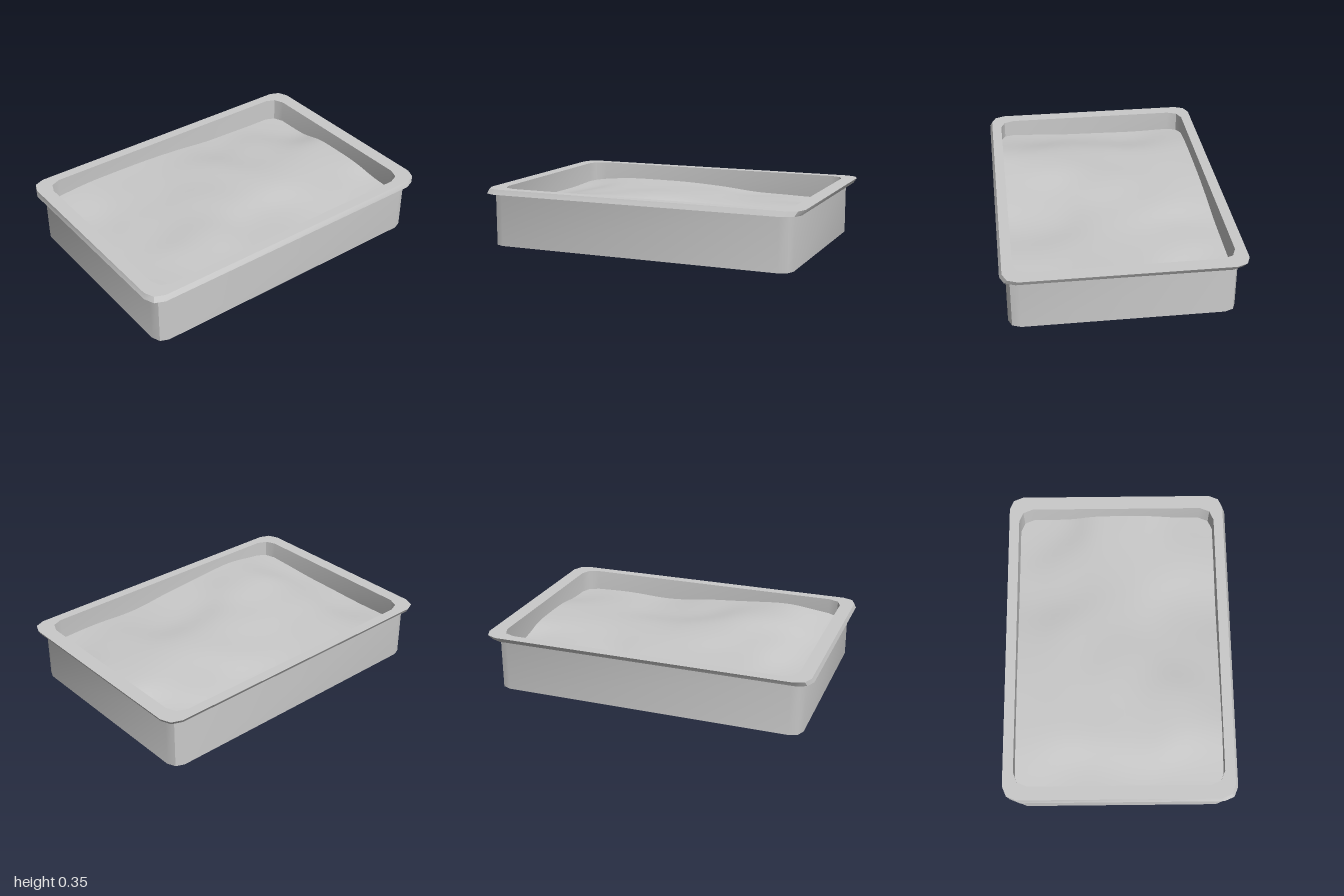
import * as THREE from 'three';
import { toCreasedNormals } from 'three/addons/utils/BufferGeometryUtils.js';

// Rounded rectangle loop at height y, with two facets per corner
function outline(y, x0, x1, z0, z1, r = 0.085) {
  const pts = [];
  const centres = [[x1 - r, z1 - r], [x0 + r, z1 - r], [x0 + r, z0 + r], [x1 - r, z0 + r]];
  centres.forEach(([cx, cz], c) => {
    for (let k = 0; k <= 2; k++) {
      const a = (c + k / 2) * Math.PI / 2;
      pts.push(new THREE.Vector3(cx + r * Math.cos(a), y, cz + r * Math.sin(a)));
    }
  });
  return pts;
}

// Skin through successive loops, smooth along the walls with one crease per corner
function loft(loops, capStart = false) {
  const tri = [];
  for (let l = 0; l + 1 < loops.length; l++) {
    const a = loops[l], b = loops[l + 1];
    a.forEach((p, i) => {
      const j = (i + 1) % a.length;
      tri.push(p, b[i], a[j], b[i], b[j], a[j]);
    });
  }
  if (capStart) {
    const a = loops[0];
    for (let i = 1; i + 1 < a.length; i++) tri.push(a[0], a[i], a[i + 1]);
  }
  return toCreasedNormals(new THREE.BufferGeometry().setFromPoints(tri), 0.6);
}

// Height samples [x, z, y] of the uneven filling
const SAMPLES = [
  [-0.91, -0.63, 0.21], [-0.72, -0.63, 0.255], [-0.47, -0.63, 0.25], [-0.22, -0.63, 0.25],
  [0.06, -0.63, 0.235], [0.34, -0.63, 0.205], [0.77, -0.63, 0.2], [0.91, -0.5, 0.205],
  [0.91, 0.05, 0.25], [0.91, 0.55, 0.215], [0.59, 0.62, 0.225], [0.26, 0.62, 0.205],
  [-0.06, 0.62, 0.25], [-0.3, 0.62, 0.265], [-0.58, 0.62, 0.295], [-0.81, 0.62, 0.26],
  [-0.91, 0.5, 0.225], [-0.91, 0, 0.22], [-0.91, -0.3, 0.215],
  [-0.4, 0.35, 0.295], [0, 0.42, 0.245], [0.22, 0.4, 0.22], [0.6, 0.3, 0.24],
  [-0.55, 0.05, 0.265], [-0.15, 0.05, 0.275], [0.2, 0, 0.255], [0.55, 0, 0.25],
  [0.5, -0.3, 0.23], [0, -0.3, 0.255], [-0.45, -0.3, 0.255],
];

// Smooth weighted blend of the samples
function fillHeight(x, z) {
  let sum = 0, weight = 0;
  for (const [sx, sz, sy] of SAMPLES) {
    const d2 = (x - sx) ** 2 + (z - sz) ** 2;
    const w = Math.exp(-d2 / 0.045) + 1e-4 / (d2 + 0.05);
    sum += w * sy;
    weight += w;
  }
  return sum / weight;
}

function fillGeometry() {
  const geo = new THREE.PlaneGeometry(1.83, 1.265, 48, 34).rotateX(-Math.PI / 2);
  const pos = geo.attributes.position;
  const r = 0.085, hx = 0.915 - r, hz = 0.6325 - r;
  for (let i = 0; i < pos.count; i++) {
    let x = pos.getX(i), z = pos.getZ(i);
    // Pull the corners in to follow the rounded opening
    const dx = Math.abs(x) - hx, dz = Math.abs(z) - hz, d = Math.hypot(dx, dz);
    if (dx > 0 && dz > 0 && d > r) {
      x = Math.sign(x) * (hx + dx * r / d);
      z = Math.sign(z) * (hz + dz * r / d);
    }
    z -= 0.0075;
    pos.setXYZ(i, x, fillHeight(x, z), z);
  }
  geo.computeVertexNormals();
  return geo;
}

export function createModel() {
  const group = new THREE.Group();
  const grey = new THREE.MeshStandardMaterial({ color: 0xcacaca });
  grey.name = 'grey';

  const add = (name, geo) => {
    const mesh = new THREE.Mesh(geo, grey);
    mesh.name = name;
    group.add(mesh);
  };

  const wall = y => outline(y, -0.952, 0.938, -0.643, 0.66, 0.07);
  const opening = y => outline(y, -0.908, 0.912, -0.632, 0.62);

  // Outer box with closed base
  add('outerWall', loft([wall(0), wall(0.321)], true));

  // Overhanging lip, slightly sheared towards the back and side
  add('rim', loft([
    wall(0.321),
    outline(0.321, -1, 0.982, -0.675, 0.695),
    outline(0.351, -0.99, 1, -0.695, 0.68),
    opening(0.351),
  ]));

  // Inside faces of the tray
  add('innerWall', loft([opening(0.351), opening(0.15)]));

  // Gently lumpy contents
  add('filling', fillGeometry());
  return group;
}
